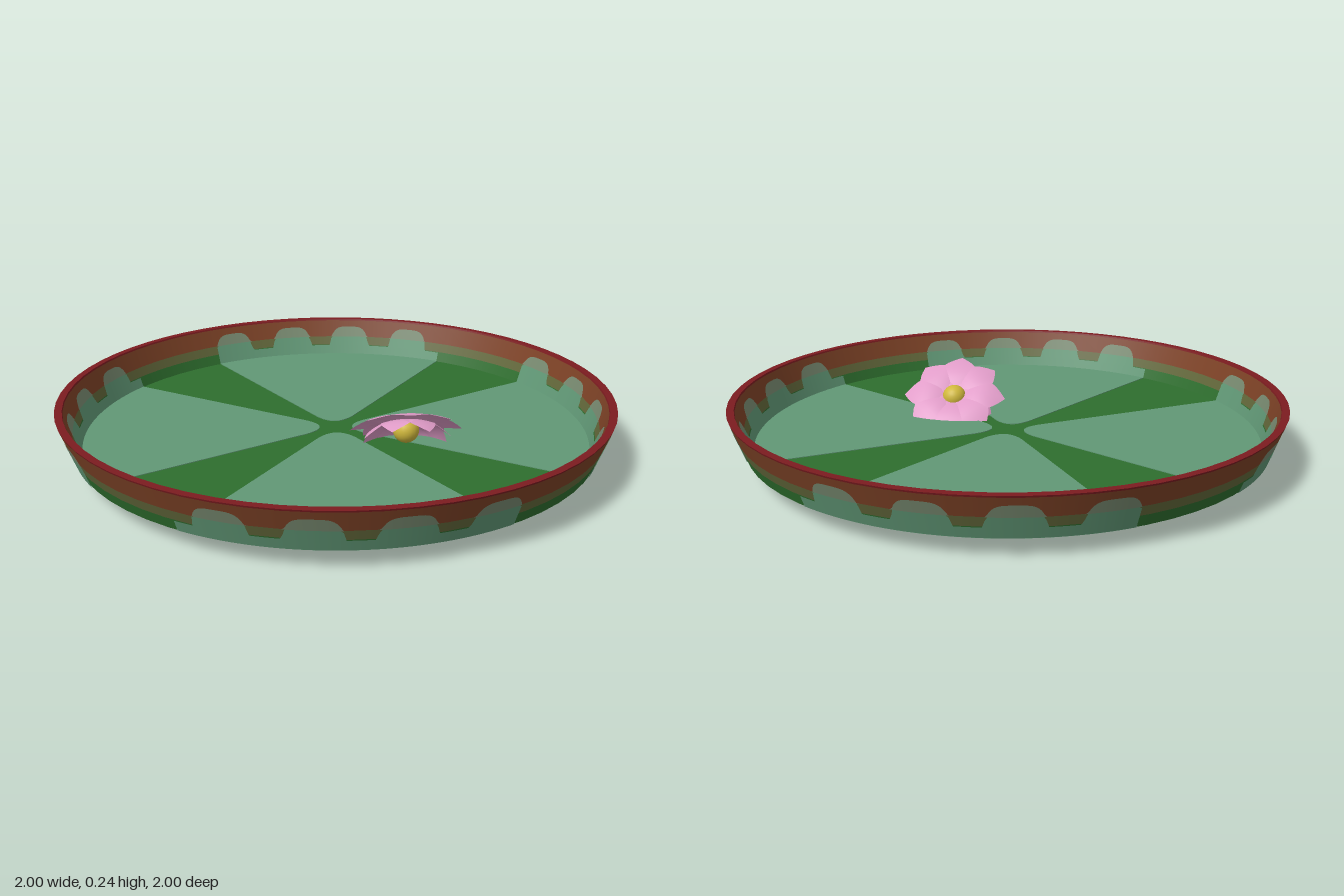
import * as THREE from 'three';

const mat = (name, color) => {
  const m = new THREE.MeshStandardMaterial({ color, side: THREE.DoubleSide });
  m.name = name;
  return m;
};

// Smooth surface from a rule f(u, v) -> [x, y, z], u and v in 0..1
function surface(f, nu, nv) {
  const pos = [], idx = [];
  for (let i = 0; i <= nu; i++) {
    for (let j = 0; j <= nv; j++) {
      pos.push(...f(i / nu, j / nv));
      if (i < nu && j < nv) {
        const a = i * (nv + 1) + j, b = a + nv + 1;
        idx.push(a, b, a + 1, b, b + 1, a + 1);
      }
    }
  }
  const g = new THREE.BufferGeometry();
  g.setAttribute('position', new THREE.Float32BufferAttribute(pos, 3));
  g.setIndex(idx);
  g.computeVertexNormals();
  return g;
}

export function createModel() {
  const darkGreen = mat('dark green', 0x2e6e2e);
  const lightGreen = mat('light green', 0x619876);
  const sage = mat('sage', 0x788a70);
  const olive = mat('olive', 0x62673a);
  const brown = mat('brown', 0x7d4226);
  const red = mat('rim red', 0x7c1c20);
  const pink = mat('petal pink', 0xe09cc8);
  const yellow = mat('yellow', 0xd0b83c);

  const model = new THREE.Group();
  model.name = 'lilyPad';
  const add = (parent, name, geo, material) => {
    const m = new THREE.Mesh(geo, material);
    m.name = name;
    parent.add(m);
    return m;
  };

  // Floor and flaring wall
  const FLOOR = 0.08, TOP = 0.23, SEG = 64, THICK = 0.026;
  const outer = (y) => 0.945 + 0.055 * (y - FLOOR) / (TOP - FLOOR);
  const inner = (y) => outer(y) - THICK;
  const lathe = (pts) => new THREE.LatheGeometry(pts.map((p) => new THREE.Vector2(...p)), SEG);

  const floor = add(model, 'floor', new THREE.CircleGeometry(0.945, SEG).rotateX(-Math.PI / 2), darkGreen);
  floor.position.y = FLOOR;

  const bands = [[FLOOR, 0.12, darkGreen], [0.12, 0.155, olive], [0.155, 0.224, brown], [0.224, TOP, red]];
  for (const [y0, y1, m] of bands) {
    add(model, 'outerWall', lathe([[outer(y0), y0], [outer(y1), y1]]), m);
    add(model, 'innerWall', lathe([[inner(y1), y1], [inner(y0), y0]]), m);
  }
  add(model, 'rim', lathe([[outer(TOP), TOP], [inner(TOP), TOP]]), red);

  // Pale sector plate with a rounded tip, showing above and below the floor
  const HALF = THREE.MathUtils.degToRad(31.7);
  const s = Math.sin(HALF), c = Math.cos(HALF);
  const shape = new THREE.Shape();
  shape.moveTo(0.13 * s, 0.13 * c);
  shape.lineTo(0.943 * s, 0.943 * c);
  shape.absarc(0, 0, 0.943, Math.PI / 2 - HALF, Math.PI / 2 + HALF, false);
  shape.lineTo(-0.13 * s, 0.13 * c);
  shape.quadraticCurveTo(0, 0.01, 0.13 * s, 0.13 * c);
  const sectorGeo = new THREE.ExtrudeGeometry(shape, { depth: 0.005, bevelEnabled: false, curveSegments: 24 });
  sectorGeo.rotateX(Math.PI / 2).translate(0, FLOOR + 0.0025, 0);

  // Scalloped edge of the pale sector climbing the wall
  const blobs = [-22.4, -6, 10, 26.7];
  const scallop = (deg) => {
    let h = 0.118;
    for (const b of blobs) {
      const d = Math.abs(deg - b) / 5.3;
      if (d < 1) h = Math.max(h, 0.118 + 0.08 * Math.pow(1 - d ** 4, 0.6));
    }
    return h;
  };
  const SPLIT = 0.155;
  const patch = (radius, low) => surface((u, v) => {
    const a = (2 * u - 1) * HALF, h = scallop(THREE.MathUtils.radToDeg(a));
    const y0 = low ? FLOOR : SPLIT;
    const y1 = low ? Math.min(h, SPLIT) : Math.max(h, SPLIT);
    const y = y0 + (y1 - y0) * v, r = radius(y);
    return [r * Math.sin(a), y, r * Math.cos(a)];
  }, 130, 2);
  const outside = (y) => outer(y) + 0.002, inside = (y) => inner(y) - 0.003;
  const patches = [
    [patch(outside, true), lightGreen], [patch(outside, false), sage],
    [patch(inside, true), lightGreen], [patch(inside, false), sage],
  ];
  for (let k = 0; k < 4; k++) {
    const sector = new THREE.Group();
    sector.name = 'sector';
    sector.rotation.y = k * Math.PI / 2;
    add(sector, 'sectorFloor', sectorGeo, lightGreen);
    for (const [g, m] of patches) add(sector, 'scallops', g, m);
    model.add(sector);
  }

  // Flower, tilted toward the back and dipping through the floor
  const flower = new THREE.Group();
  flower.name = 'flower';
  flower.position.set(0.24, 0.14, 0.185);
  flower.rotation.x = -0.61;
  model.add(flower);

  const petal = (length, halfWidth, arch, drop) => surface((u, v) => {
    const w = halfWidth * Math.sin(Math.PI * Math.pow(u, 1.3)) + 0.012 * (1 - u);
    const t = 2 * v - 1;
    return [w * t, arch * Math.sin(Math.PI * u) - drop * u * u - 0.006 * t * t * Math.sin(Math.PI * u), length * u];
  }, 10, 4);
  const rings = [
    [petal(0.2, 0.064, 0.03, 0), 0, 'upperPetal'],
    [petal(0.165, 0.055, 0.03, 0.045), Math.PI / 8, 'lowerPetal'],
  ];
  for (const [geo, offset, name] of rings) {
    for (let i = 0; i < 8; i++) add(flower, name, geo, pink).rotation.y = offset + i * Math.PI / 4;
  }
  add(flower, 'flowerCentre', new THREE.SphereGeometry(0.047, 20, 14), yellow);

  return model;
}
